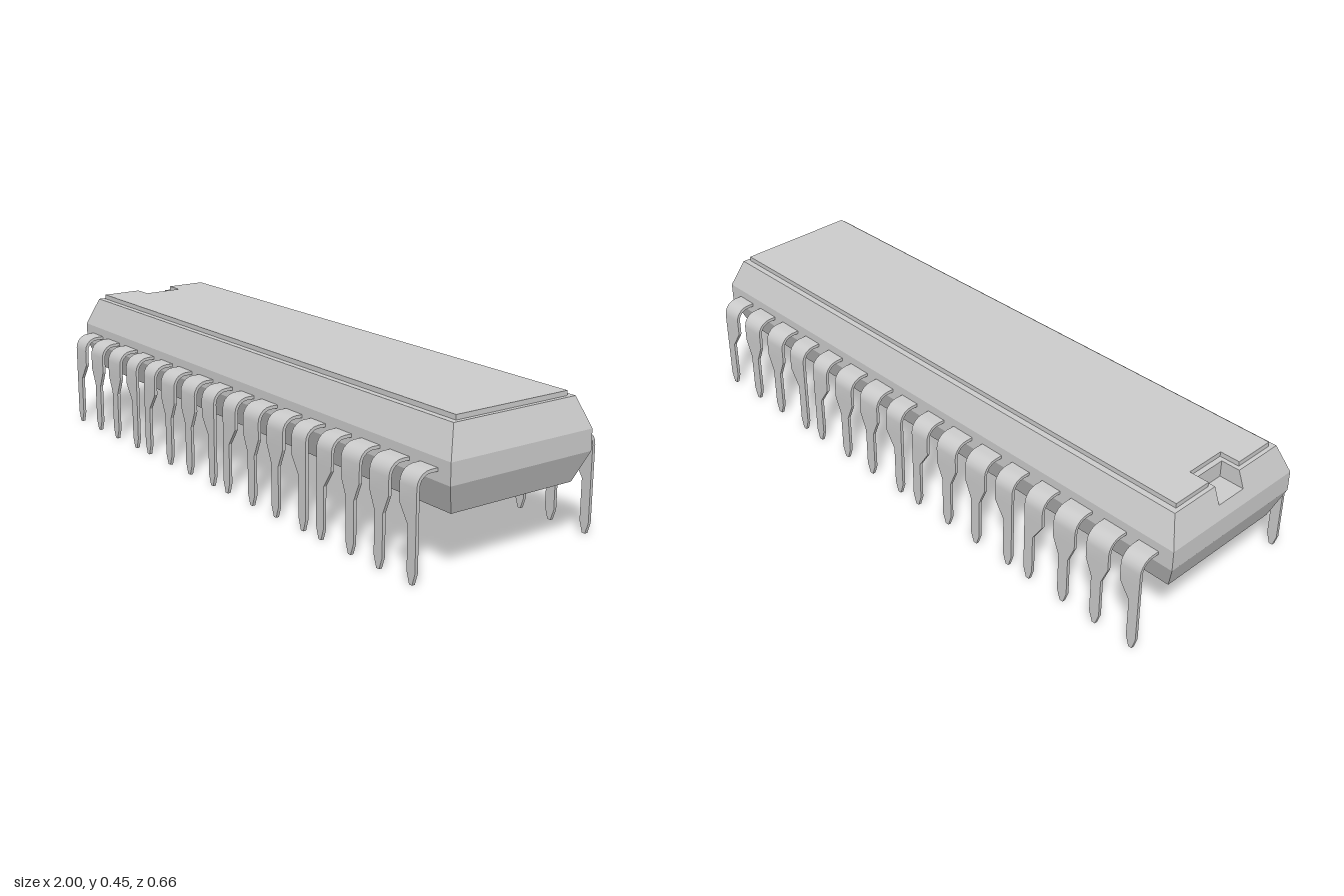
import * as THREE from 'three';
import { toCreasedNormals } from 'three/addons/utils/BufferGeometryUtils.js';

const material = new THREE.MeshStandardMaterial({ color: 0xcccccc });

// Geometry from four-cornered faces, each counter-clockwise seen from outside
function fromQuads(quads) {
  const pos = [];
  for (const [a, b, c, d] of quads) pos.push(...a, ...b, ...c, ...a, ...c, ...d);
  const geo = new THREE.BufferGeometry();
  geo.setAttribute('position', new THREE.Float32BufferAttribute(pos, 3));
  geo.computeVertexNormals();
  return geo;
}

function addMesh(parent, name, geo) {
  const mesh = new THREE.Mesh(geo, material);
  mesh.name = name;
  parent.add(mesh);
  return mesh;
}

// Bevelled housing with a rectangular notch in its left-hand (-x) top edge
function housingGeometry() {
  const ring = (x, y, z) => [[-x, y, z], [x, y, z], [x, y, -z], [-x, y, -z]];
  const rings = [ring(0.965, 0.185, 0.222), ring(1, 0.277, 0.258), ring(1, 0.342, 0.258), ring(0.965, 0.434, 0.222)];
  const quads = [[...rings[0]].reverse()];
  for (let i = 0; i < 3; i++) {
    const a = rings[i], b = rings[i + 1];
    for (let k = 0; k < 4; k++) {
      if (i === 2 && k === 3) continue; // notched end is built below
      const n = (k + 1) % 4;
      quads.push([a[k], a[n], b[n], b[k]]);
    }
  }
  const top = 0.434, floor = 0.381, xTop = -0.965, xFloor = -0.985, xIn = -0.904;
  const w = 0.053, zTop = 0.222, zFloor = 0.243;
  quads.push(
    // top face behind and beside the notch
    [[xIn, top, zTop], [0.965, top, zTop], [0.965, top, -zTop], [xIn, top, -zTop]],
    [[xTop, top, zTop], [xIn, top, zTop], [xIn, top, w], [xTop, top, w]],
    [[xTop, top, -w], [xIn, top, -w], [xIn, top, -zTop], [xTop, top, -zTop]],
    // sloped end below and beside the notch
    [[-1, 0.342, -0.258], [-1, 0.342, 0.258], [xFloor, floor, zFloor], [xFloor, floor, -zFloor]],
    [[xFloor, floor, w], [xFloor, floor, zFloor], [xTop, top, zTop], [xTop, top, w]],
    [[xFloor, floor, -zFloor], [xFloor, floor, -w], [xTop, top, -w], [xTop, top, -zTop]],
    // notch floor, inner wall and two side walls
    [[xFloor, floor, w], [xIn, floor, w], [xIn, floor, -w], [xFloor, floor, -w]],
    [[xIn, floor, -w], [xIn, floor, w], [xIn, top, w], [xIn, top, -w]],
    [[xFloor, floor, -w], [xIn, floor, -w], [xIn, top, -w], [xTop, top, -w]],
    [[xIn, floor, w], [xFloor, floor, w], [xTop, top, w], [xIn, top, w]]
  );
  return fromQuads(quads);
}

// Thin raised plate, cut away around the notch
function plateGeometry() {
  const x = 0.952, z = 0.2025, w = 0.067, xIn = -0.887;
  const outline = [[-x, -z], [x, -z], [x, z], [-x, z], [-x, w], [xIn, w], [xIn, -w], [-x, -w]];
  const shape = new THREE.Shape(outline.map(([a, b]) => new THREE.Vector2(a, b)));
  const geo = new THREE.ExtrudeGeometry(shape, { depth: 0.015, bevelEnabled: false });
  geo.rotateX(-Math.PI / 2);
  geo.translate(0, 0.434, 0);
  return geo;
}

// Bent flat pin: shoulder spans l..r, the blade bl..br, ending in a blunt point
function pinGeometry(l, r, bl, br) {
  const stations = [];
  const add = (outer, inner, x0, x1) => stations.push(
    [[x0, ...outer], [x1, ...outer], [x1, ...inner], [x0, ...inner]]);
  add([0.315, 0.245], [0.305, 0.245], l, r);
  const steps = 5, cy = 0.27, cz = 0.283;
  for (let i = 0; i <= steps; i++) {
    const t = (i / steps) * Math.PI / 2;
    const at = (radius) => [cy + radius * Math.cos(t), cz + radius * Math.sin(t)];
    add(at(0.045), at(0.035), l, r);
  }
  const mid = (bl + br) / 2;
  for (const [y, x0, x1] of [[0.218, l, r], [0.163, bl, br], [0.035, bl, br], [0, mid - 0.006, mid + 0.006]]) {
    add([y, 0.328], [y, 0.318], x0, x1);
  }
  const quads = [stations[0], [...stations[stations.length - 1]].reverse()];
  for (let i = 0; i < stations.length - 1; i++) {
    const a = stations[i], b = stations[i + 1];
    for (let k = 0; k < 4; k++) {
      const n = (k + 1) % 4;
      quads.push([a[n], a[k], b[k], b[n]]);
    }
  }
  return toCreasedNormals(fromQuads(quads), 0.36);
}

export function createModel() {
  const model = new THREE.Group();
  model.name = 'chipPackage';
  addMesh(model, 'housing', housingGeometry());
  addMesh(model, 'topPlate', plateGeometry());

  // Each set of four: one-sided pin, two symmetric pins, one-sided pin
  const pins = [
    [-0.218, pinGeometry(0, 0.07, 0, 0.034)],
    [-0.063, pinGeometry(-0.041, 0.041, -0.018, 0.018)],
    [0.063, pinGeometry(-0.041, 0.041, -0.018, 0.018)],
    [0.218, pinGeometry(-0.07, 0, -0.034, 0)],
  ];
  for (const side of ['front', 'back']) {
    const row = new THREE.Group();
    row.name = side + 'PinRow';
    for (let set = 0; set < 4; set++) {
      for (const [offset, geo] of pins) {
        addMesh(row, side + 'Pin', geo).position.x = (set - 1.5) * 0.488 + offset;
      }
    }
    if (side === 'back') row.rotation.y = Math.PI;
    model.add(row);
  }
  return model;
}
